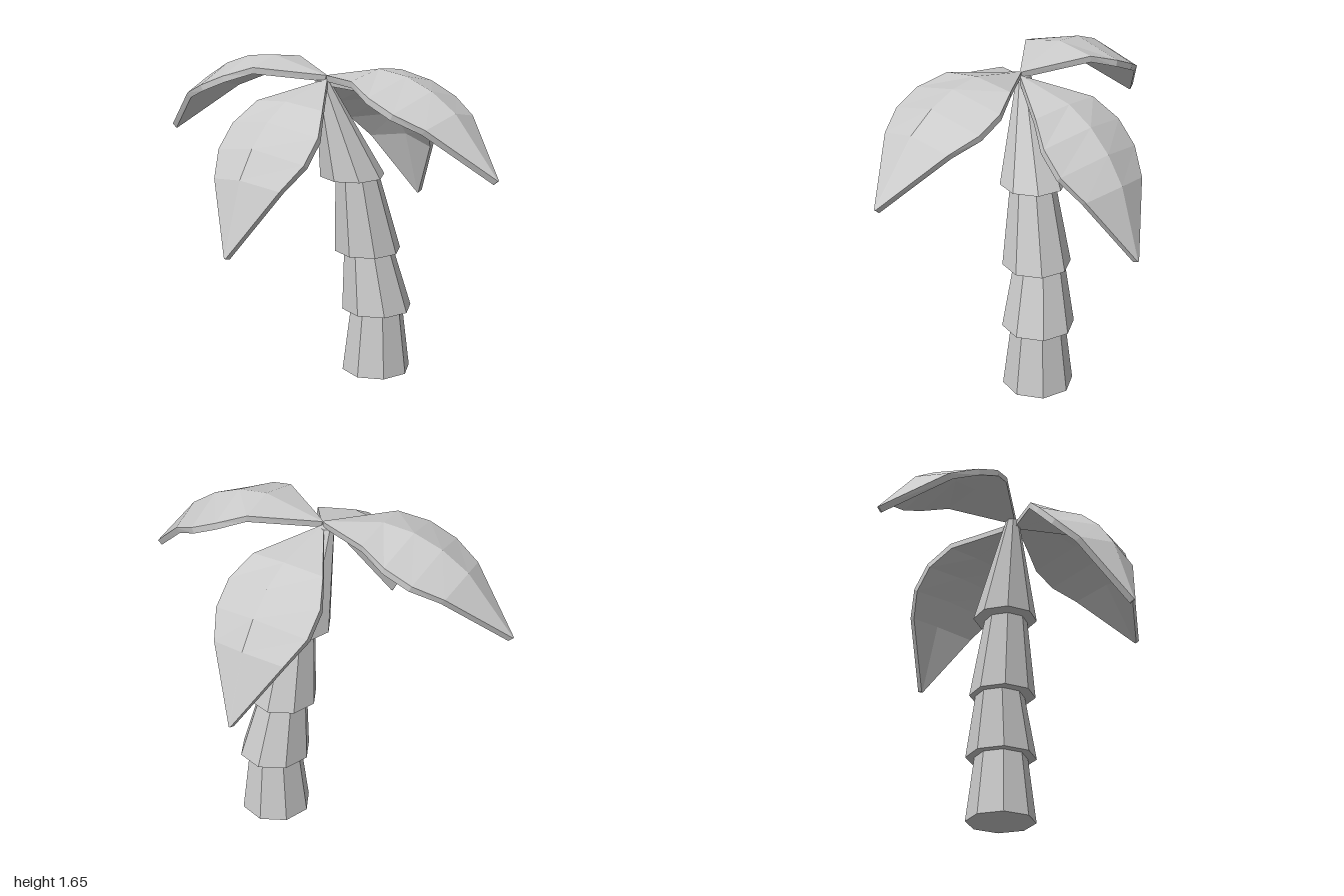
import * as THREE from 'three';

const material = new THREE.MeshStandardMaterial({ color: 0xcccccc, flatShading: true });

// Trunk rings, each a leaning eight-sided frustum: [x, y, z, radius] at bottom and top
const RINGS = [
  [[0.16, 0, -0.23, 0.18], [0.16, 0.36, -0.23, 0.135]],
  [[0.16, 0.34, -0.23, 0.183], [0.12, 0.68, -0.205, 0.125]],
  [[0.125, 0.66, -0.193, 0.172], [0.09, 1.08, -0.14, 0.11]],
  [[0.07, 1.06, -0.13, 0.166], [-0.025, 1.56, 0, 0.035]],
];

function trunkRing([bottom, top]) {
  const height = top[1] - bottom[1];
  const geometry = new THREE.CylinderGeometry(top[3], bottom[3], height, 8);
  const pos = geometry.attributes.position;
  for (let i = 0; i < pos.count; i++) {
    const c = pos.getY(i) > 0 ? top : bottom;
    pos.setXYZ(i, pos.getX(i) + c[0], c[1], pos.getZ(i) + c[2]);
  }
  return geometry;
}

// Leaf stations along +x: [midrib x, midrib y, edge x, edge y, half width]
const STATIONS = [
  [0, 0, 0, 0, 0.004],
  [0.318, 0.07, 0.302, 0.037, 0.2],
  [0.476, 0.052, 0.445, -0.012, 0.262],
  [0.62, -0.002, 0.585, -0.072, 0.262],
  [0.755, -0.09, 0.725, -0.138, 0.2],
  [0.998, -0.372, 0.998, -0.372, 0.004],
];

// Arched leaf with a midrib fold and constant thickness
function leafGeometry(thickness = 0.032) {
  const points = [];
  const index = [];
  const last = STATIONS.length - 1;
  STATIONS.forEach(([mx, my, ex, ey, w], i) => {
    const a = STATIONS[Math.max(i - 1, 0)];
    const b = STATIONS[Math.min(i + 1, last)];
    const length = Math.hypot(b[0] - a[0], b[1] - a[1]);
    const dx = ((b[1] - a[1]) / length) * thickness;
    const dy = (-(b[0] - a[0]) / length) * thickness;
    points.push(ex, ey, -w, mx, my, 0, ex, ey, w);
    points.push(ex + dx, ey + dy, w, mx + dx, my + dy, 0, ex + dx, ey + dy, -w);
  });
  for (let i = 0; i < last; i++) {
    for (let j = 0; j < 6; j++) {
      const a = i * 6 + j;
      const b = i * 6 + ((j + 1) % 6);
      index.push(a, b, b + 6, a, b + 6, a + 6);
    }
  }
  // End caps
  const end = last * 6;
  for (let j = 1; j < 5; j++) {
    index.push(0, j + 1, j, end, end + j, end + j + 1);
  }
  const geometry = new THREE.BufferGeometry();
  geometry.setAttribute('position', new THREE.Float32BufferAttribute(points, 3));
  geometry.setIndex(index);
  geometry.computeVertexNormals();
  return geometry;
}

// Leaves: name, heading, downward tilt, height of the base
const LEAVES = [
  ['leftLeaf', -0.07, 0, 1.585],
  ['rightLeaf', Math.PI - 0.01, 0, 1.585],
  ['frontLeaf', -Math.PI / 2 - 0.063, -0.394, 1.565],
  ['backLeaf', Math.PI / 2 - 0.132, -0.394, 1.565],
];

export function createModel() {
  const model = new THREE.Group();
  model.name = 'palmTree';

  const trunk = new THREE.Group();
  trunk.name = 'trunk';
  RINGS.forEach((ring, i) => {
    const mesh = new THREE.Mesh(trunkRing(ring), material);
    mesh.name = `trunkRing${i + 1}`;
    trunk.add(mesh);
  });

  const crown = new THREE.Group();
  crown.name = 'crown';
  const geometry = leafGeometry();
  for (const [name, heading, tilt, y] of LEAVES) {
    const leaf = new THREE.Mesh(geometry, material);
    leaf.name = name;
    leaf.position.y = y;
    leaf.rotation.set(0, heading, tilt);
    crown.add(leaf);
  }

  model.add(trunk, crown);
  return model;
}
